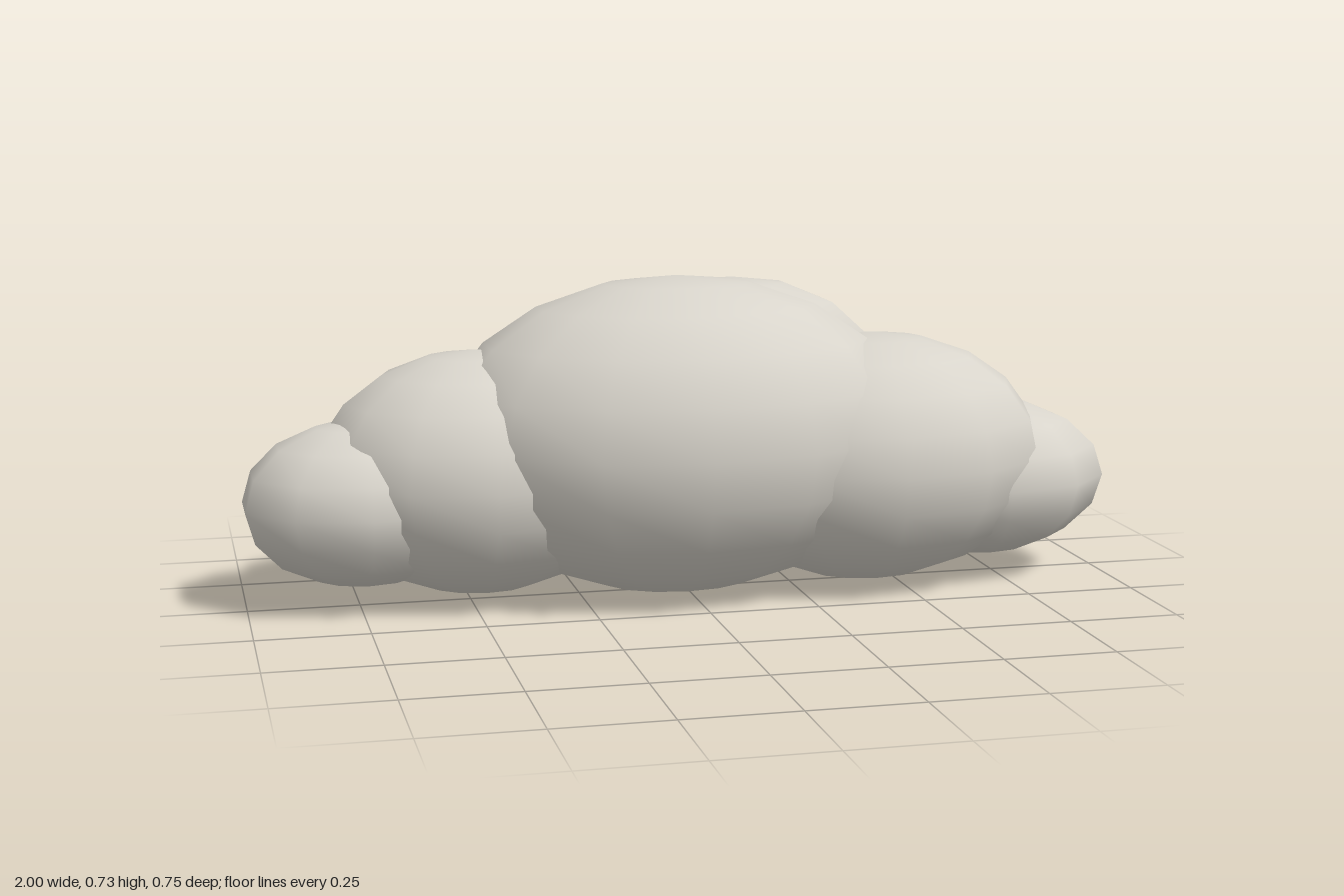
import * as THREE from 'three';

// name, centre, radii, segments around, rings
const PUFFS = [
  ['centrePuff', [-0.02, 0.366, 0], [0.55, 0.363, 0.377], 14, 10],
  ['upperBackPuff', [0.12, 0.508, -0.06], [0.345, 0.207, 0.23], 10, 8],
  ['leftPuff', [0.43, 0.3, 0.018], [0.42, 0.288, 0.314], 12, 10],
  ['rightPuff', [-0.47, 0.292, -0.035], [0.375, 0.277, 0.3], 12, 10],
  ['leftEndPuff', [0.715, 0.235, -0.007], [0.3, 0.186, 0.234], 10, 8],
  ['rightEndPuff', [-0.735, 0.237, -0.007], [0.279, 0.187, 0.22], 10, 8],
];

export function createModel() {
  const cloud = new THREE.Group();
  cloud.name = 'cloud';
  const cloudWhite = new THREE.MeshStandardMaterial({ color: 0xd8d4cb });
  cloudWhite.name = 'cloudWhite';

  for (const [name, centre, radii, segments, rings] of PUFFS) {
    // Turned so that a seam of corners lies on the front and back
    const geometry = new THREE.SphereGeometry(1, segments, rings)
      .rotateY(Math.PI / 2)
      .scale(...radii);
    const puff = new THREE.Mesh(geometry, cloudWhite);
    puff.name = name;
    puff.position.set(...centre);
    cloud.add(puff);
  }
  return cloud;
}
